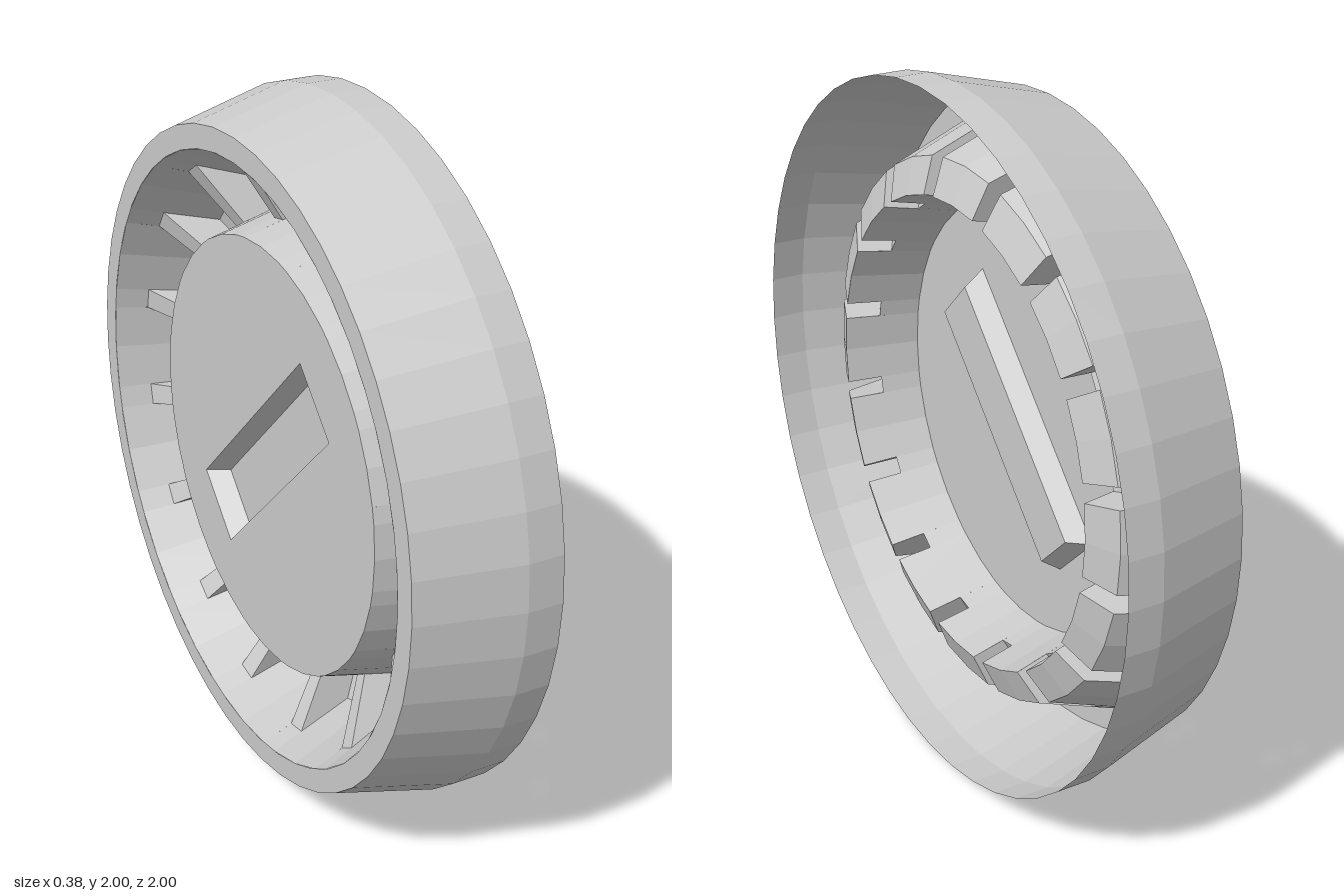
import * as THREE from 'three';

const material = new THREE.MeshStandardMaterial({ color: 0xcccccc, flatShading: true, side: THREE.DoubleSide });

// The wheel axis is x; angles run counterclockwise as seen from +x.
const at = ([r, x], a) => [x, 1 + r * Math.sin(a), -r * Math.cos(a)];

const quad = (out, a, b, c, d) => out.push(...a, ...b, ...c, ...a, ...c, ...d);

// Sweep a profile of [radius, x] points from angle a0 to a1.
function strip(out, profile, a0, a1) {
  for (let i = 0; i + 1 < profile.length; i++) {
    const p = profile[i], q = profile[i + 1];
    quad(out, at(p, a0), at(q, a0), at(q, a1), at(p, a1));
  }
}

function sheet(name, positions) {
  const geometry = new THREE.BufferGeometry();
  geometry.setAttribute('position', new THREE.Float32BufferAttribute(positions, 3));
  geometry.computeVertexNormals();
  const mesh = new THREE.Mesh(geometry, material);
  mesh.name = name;
  return mesh;
}

export function createModel() {
  const group = new THREE.Group();
  group.name = 'wheelCover';

  // Outer rim: flat back lip, flared wall and short straight edge
  const rim = [];
  const rimProfile = [[0.86, -0.19], [0.927, -0.19], [1, 0.09], [1, 0.19]];
  const sides = 48, step = Math.PI * 2 / sides;
  for (let i = 0; i < sides; i++) strip(rim, rimProfile, i * step, (i + 1) * step);
  group.add(sheet('outerRim', rim));

  // Raised collar with sixteen sloping slots
  const foot = [0.62, -0.116], inner = [0.67, 0.1], outer = [0.77, 0.06], lip = [0.86, -0.19];
  const slotIn = [0.647, 0.0], slotOut = [0.827, -0.098];
  const slots = 16, pitch = Math.PI * 2 / slots, half = 0.039;
  const collar = [], discOutline = [];
  for (let k = 0; k < slots; k++) {
    const a = (k + 0.5) * pitch;
    const s0 = a - half, s1 = a + half, mid = a + pitch / 2, next = a + pitch - half;
    strip(collar, [foot, slotIn, slotOut, lip], s0, s1);
    for (const s of [s0, s1]) quad(collar, at(slotIn, s), at(inner, s), at(outer, s), at(slotOut, s));
    strip(collar, [foot, inner, outer, lip], s1, mid);
    strip(collar, [foot, inner, outer, lip], mid, next);
    for (const s of [s0, s1, mid]) {
      discOutline.push(new THREE.Vector2(foot[0] * Math.cos(s), foot[0] * Math.sin(s)));
    }
  }
  group.add(sheet('slottedCollar', collar));

  // Corners of a rectangle turned 45 degrees, in the plane of the disc
  const rectangle = (length, width) => [[1, 1], [-1, 1], [-1, -1], [1, -1]].map(([i, j]) =>
    new THREE.Vector2(i * length / 2, j * width / 2).rotateAround(new THREE.Vector2(), -Math.PI / 4));
  const base = rectangle(0.84, 0.224), top = rectangle(0.776, 0.17);

  // Central disc, open behind the bar
  const shape = new THREE.Shape(discOutline);
  shape.holes.push(new THREE.Path(base));
  const disc = new THREE.Mesh(new THREE.ShapeGeometry(shape).rotateY(Math.PI / 2), material);
  disc.position.set(foot[1], 1, 0);
  disc.name = 'centreDisc';
  group.add(disc);

  // Embossed diagonal bar, hollow from the back
  const bar = [];
  const low = base.map(p => [foot[1], 1 + p.y, -p.x]);
  const high = top.map(p => [-0.056, 1 + p.y, -p.x]);
  for (let i = 0; i < 4; i++) {
    const j = (i + 1) % 4;
    quad(bar, low[i], low[j], high[j], high[i]);
  }
  quad(bar, ...high);
  group.add(sheet('diagonalBar', bar));

  return group;
}
